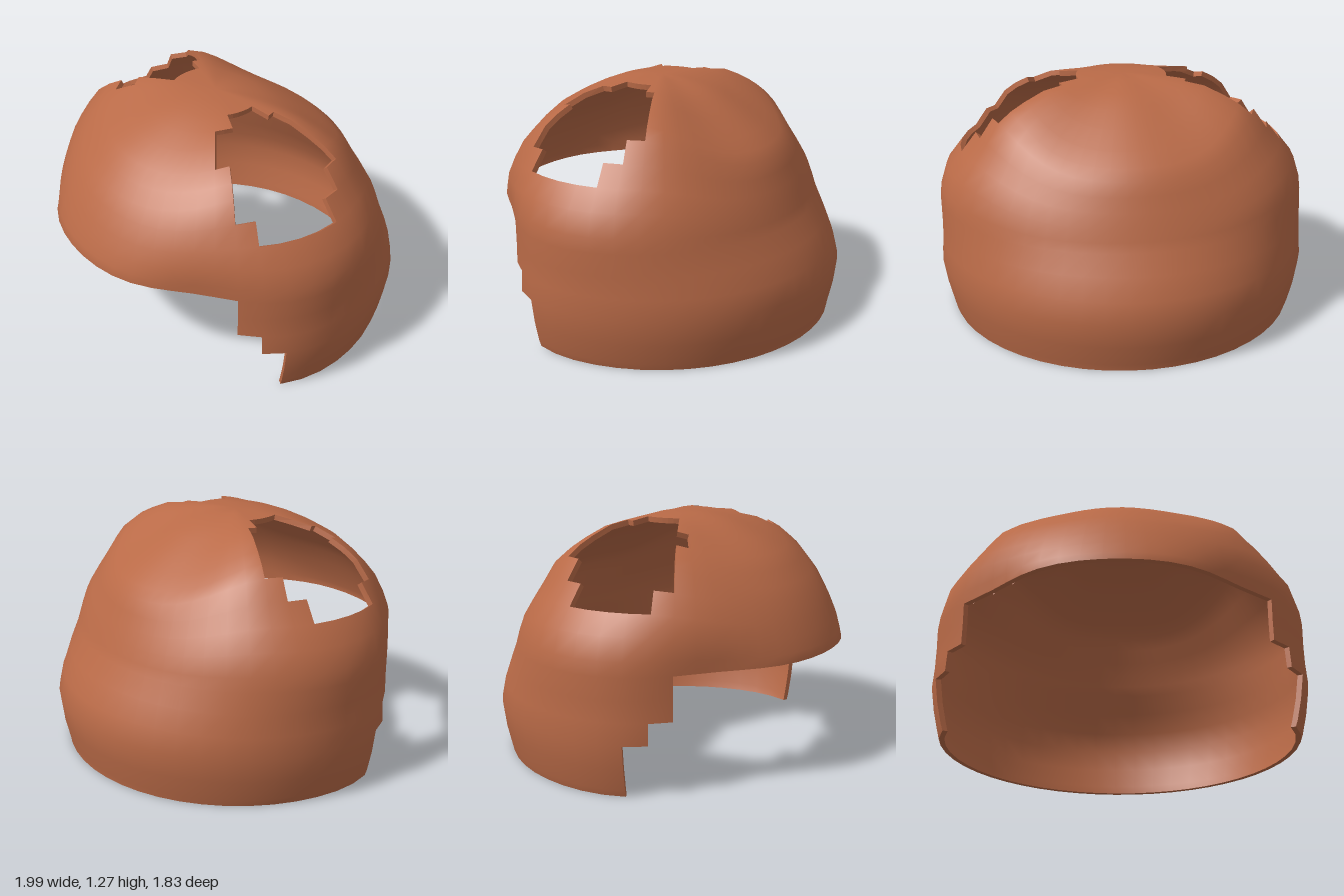
import * as THREE from 'three';

const COLS = 50;          // columns around the shell, 7.2 degrees each
const CENTRE_Z = 0.05;    // the pole sits slightly forward
const THICKNESS = 0.028;

// Rings from pole to hem: [side radius, side y, front radius, front y, back radius, back y, cheek dent]
const RINGS = [
  [0, 1.272, 0, 1.272, 0, 1.272, 0],
  [0.12, 1.27, 0.12, 1.271, 0.12, 1.26, 0],
  [0.24, 1.262, 0.24, 1.25, 0.24, 1.225, 0],
  [0.345, 1.25, 0.345, 1.21, 0.345, 1.175, 0],
  [0.45, 1.235, 0.45, 1.16, 0.45, 1.105, 0],
  [0.56, 1.19, 0.56, 1.095, 0.56, 1.03, 0],
  [0.64, 1.15, 0.63, 1.03, 0.63, 0.97, 0],
  [0.71, 1.10, 0.69, 0.96, 0.68, 0.92, 0],
  [0.785, 1.0, 0.74, 0.9, 0.71, 0.85, 0],
  [0.865, 0.9, 0.79, 0.81, 0.745, 0.78, 0.02],
  [0.945, 0.8, 0.83, 0.73, 0.775, 0.71, 0.05],
  [0.98, 0.69, 0.855, 0.665, 0.80, 0.65, 0.08],
  [0.99, 0.615, 0.87, 0.62, 0.82, 0.6, 0.095],
  [0.988, 0.5, 0.87, 0.5, 0.88, 0.5, 0.095],
  [0.99, 0.39, 0.87, 0.39, 0.935, 0.39, 0.095],
  [0.998, 0.28, 0.87, 0.28, 0.965, 0.28, 0.095],
  [0.978, 0.15, 0.87, 0.15, 0.95, 0.15, 0.095],
  [0.952, 0.04, 0.86, 0.04, 0.925, 0.04, 0.095],
  [0.94, 0.005, 0.85, 0.005, 0.92, 0.005, 0.095],
];
const ROWS = RINGS.length - 1;

// Column ranges cut out of each row; the left ones count from the -x side
const RIGHT_HOLE = { 2: [-2, 3], 3: [-3, 5], 4: [-3, 5], 5: [-3, 4], 6: [-3, 4], 7: [-2, 4], 8: [-1, 3] };
const LEFT_HOLE = { ...RIGHT_HOLE, 2: [-2, 4], 3: [-3, 4] };
const FACE_OPENING = { 12: [4, 21], 13: [4, 21], 14: [3, 22], 15: [2, 23], 16: [2, 23], 17: [2, 23] };

const wrap = (j) => (j + COLS) % COLS;

function isKept(i, j) {
  if (i < 0) return true;
  if (i >= ROWS) return false;
  const col = wrap(j);
  const signed = col > 37 ? col - COLS : col;
  const inRange = (range, c) => range !== undefined && c >= range[0] && c < range[1];
  return !inRange(FACE_OPENING[i], col)
    && !inRange(RIGHT_HOLE[i], signed)
    && !inRange(LEFT_HOLE[i], 24 - col);
}

function shellPoint(i, j) {
  const [rs, ys, rf, yf, rb, yb, dent] = RINGS[i];
  const angle = (j / COLS) * Math.PI * 2;
  const c = Math.cos(angle), s = Math.sin(angle);
  const r2 = s > 0 ? rf : rb, y2 = s > 0 ? yf : yb;
  let r = rs === 0 ? 0 : 1 / Math.hypot(c / rs, s / r2);
  // hollow between the brow and the sides
  const degrees = THREE.MathUtils.radToDeg(Math.atan2(s, Math.abs(c)));
  r *= 1 - dent * Math.exp(-0.5 * ((degrees - 41) / 15) ** 2);
  const y = THREE.MathUtils.lerp(ys, y2, THREE.MathUtils.smoothstep(Math.abs(s), 0.35, 1));
  return new THREE.Vector3(r * c, y, CENTRE_Z + r * s);
}

function makeGeometry(points, index, normals) {
  const g = new THREE.BufferGeometry().setFromPoints(points);
  if (index) g.setIndex(index);
  if (normals) g.setAttribute('normal', normals);
  else g.computeVertexNormals();
  return g;
}

export function createModel() {
  const group = new THREE.Group();
  group.name = 'helmetShell';
  const clay = new THREE.MeshStandardMaterial({ color: 0xb96a47 });
  clay.name = 'terracotta';

  const outer = [];
  for (let i = 0; i <= ROWS; i++) {
    for (let j = 0; j < COLS; j++) outer.push(shellPoint(i, j));
  }

  // Faces of the whole dome and of the cut dome
  const whole = [], cut = [], edges = [];
  for (let i = 0; i < ROWS; i++) {
    for (let j = 0; j < COLS; j++) {
      const a = i * COLS + j, d = i * COLS + wrap(j + 1);
      const b = a + COLS, c = d + COLS;
      const faces = i === 0 ? [a, c, b] : [a, d, c, a, c, b];
      whole.push(...faces);
      if (!isKept(i, j)) continue;
      cut.push(...faces);
      if (!isKept(i - 1, j)) edges.push([a, d]);
      if (!isKept(i, j + 1)) edges.push([d, c]);
      if (!isKept(i + 1, j)) edges.push([c, b]);
      if (!isKept(i, j - 1)) edges.push([b, a]);
    }
  }

  // Smooth normals come from the uncut dome
  const normals = makeGeometry(outer, whole).getAttribute('normal');
  for (let j = 0; j < COLS; j++) normals.setXYZ(j, 0, 1, 0);
  const inner = outer.map((p, k) => {
    const q = p.clone().addScaledVector(new THREE.Vector3().fromBufferAttribute(normals, k), -THICKNESS);
    if (k >= ROWS * COLS) q.y = p.y;   // level hem
    return q;
  });
  const inwardNormals = normals.clone();
  for (let k = 0; k < inwardNormals.array.length; k++) inwardNormals.array[k] *= -1;
  const flipped = [];
  for (let k = 0; k < cut.length; k += 3) flipped.push(cut[k], cut[k + 2], cut[k + 1]);

  // Walls joining both skins along every cut edge
  const rim = [];
  for (const [p, q] of edges) {
    rim.push(outer[q], outer[p], inner[p], outer[q], inner[p], inner[q]);
  }

  const parts = {
    outerShell: makeGeometry(outer, cut, normals),
    innerLining: makeGeometry(inner, flipped, inwardNormals),
    cutRims: makeGeometry(rim),
  };
  for (const [name, geometry] of Object.entries(parts)) {
    const mesh = new THREE.Mesh(geometry, clay);
    mesh.name = name;
    group.add(mesh);
  }
  return group;
}
